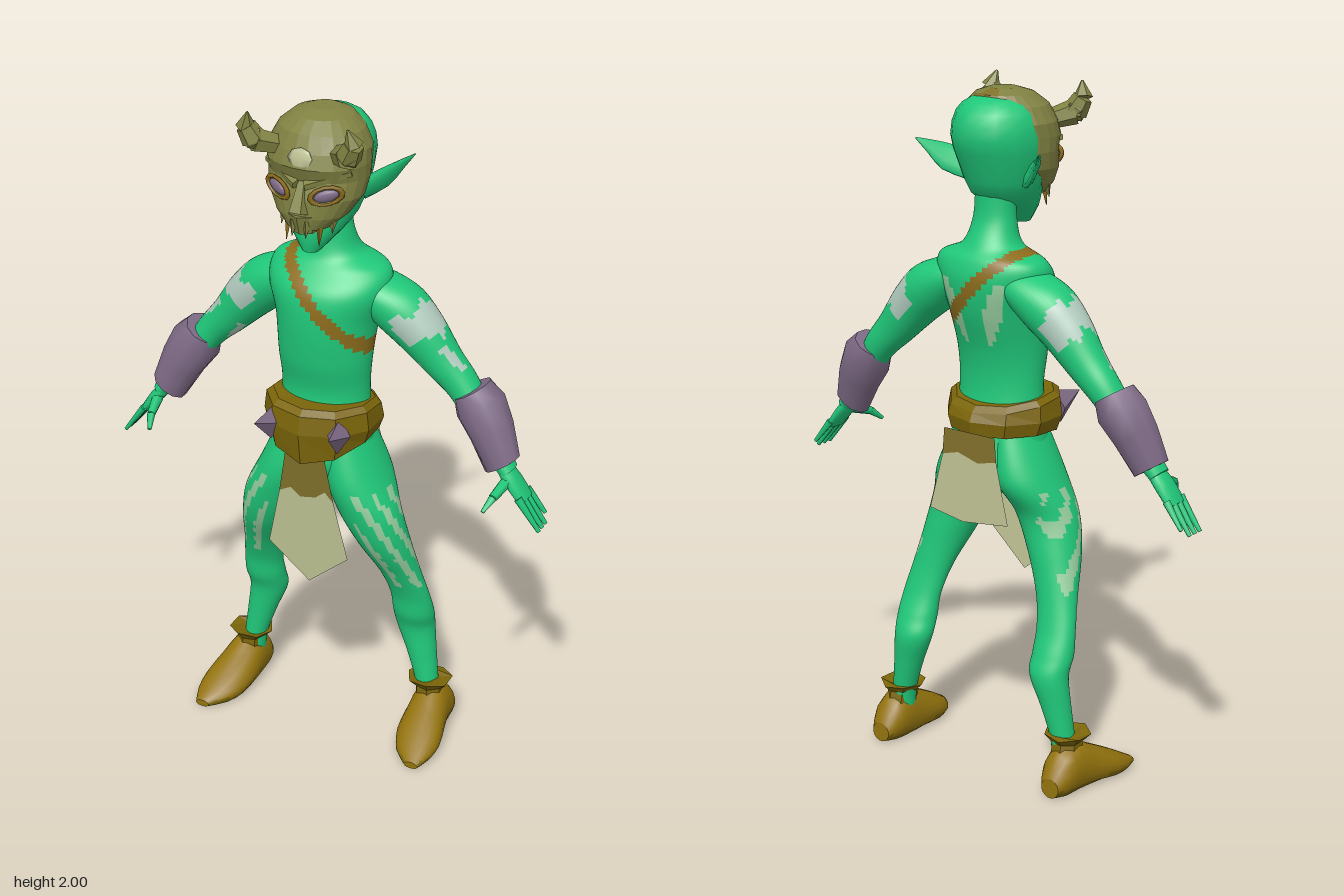
import * as THREE from 'three';

const V = (x, y, z) => new THREE.Vector3(x, y, z);
const mat = (name, color, open) => {
  const m = new THREE.MeshStandardMaterial({ color });
  m.name = name;
  if (open) m.side = THREE.DoubleSide;
  return m;
};

// Loft through elliptical rings [x, y, z, ru, rv] lying in the plane of u and v.
// rule(x, y, z) picks the material slot of each quad; bend(p) moves vertices.
function loft(rings, { u = V(1, 0, 0), v = V(0, 0, 1), sides = 16, steps = 4, rule = () => 0, flat = false, bend } = {}) {
  const n = rings.length, rows = [];
  for (let i = 0; i < n - 1; i++) {
    const q = [-1, 0, 1, 2].map(k => rings[Math.min(n - 1, Math.max(0, i + k))]);
    for (let s = 0; s < steps + (i === n - 2 ? 1 : 0); s++) {
      const t = s / steps;
      rows.push(q[0].map((a, k) => {
        const b = q[1][k], c = q[2][k], d = q[3][k];
        return b + 0.5 * t * (c - a + t * (2 * a - 5 * b + 4 * c - d + t * (3 * (b - c) + d - a)));
      }));
    }
  }
  const pts = [], slots = [];
  const addRing = r => {
    for (let j = 0; j < sides; j++) {
      const a = (j + 0.5) / sides * Math.PI * 2;
      const p = V(r[0], r[1], r[2]).addScaledVector(u, r[3] * Math.cos(a)).addScaledVector(v, r[4] * Math.sin(a));
      if (bend) bend(p);
      pts.push(p);
    }
  };
  const last = rows[rows.length - 1];
  const flip = u.clone().cross(v).dot(V(last[0] - rows[0][0], last[1] - rows[0][1], last[2] - rows[0][2])) < 0;
  const tri = (slot, a, b, c) => (slots[slot] ||= []).push(...(flip ? [a, c, b] : [a, b, c]));
  rows.forEach(addRing);
  for (let i = 0; i < rows.length - 1; i++) for (let j = 0; j < sides; j++) {
    const k = (j + 1) % sides;
    const a = i * sides + j, b = i * sides + k, c = b + sides, d = a + sides;
    const m = pts[a].clone().add(pts[b]).add(pts[c]).add(pts[d]).multiplyScalar(0.25);
    const slot = rule(m.x, m.y, m.z);
    tri(slot, a, b, d);
    tri(slot, b, c, d);
  }
  // End caps
  [rows[0], last].forEach((r, e) => {
    const s = pts.length, mid = V(0, 0, 0);
    addRing(r);
    for (let j = 0; j < sides; j++) mid.addScaledVector(pts[s + j], 1 / sides);
    pts.push(mid);
    for (let j = 0; j < sides; j++) {
      const k = (j + 1) % sides;
      if (e) tri(0, s + sides, s + j, s + k); else tri(0, s + sides, s + k, s + j);
    }
  });
  let g = new THREE.BufferGeometry().setFromPoints(pts);
  const index = [];
  slots.forEach((list, slot) => {
    g.addGroup(index.length, list.length, slot);
    for (const i of list) index.push(i);
  });
  g.setIndex(index);
  if (flat) g = g.toNonIndexed();
  g.computeVertexNormals();
  return g;
}

// Tapered rod between two points
function rod(a, b, r1, r2, sides = 6, flat = false) {
  let g = new THREE.CylinderGeometry(r2, r1, a.distanceTo(b), sides);
  if (flat) { g = g.toNonIndexed(); g.computeVertexNormals(); }
  g.applyQuaternion(new THREE.Quaternion().setFromUnitVectors(V(0, 1, 0), b.clone().sub(a).normalize()));
  return g.translate((a.x + b.x) / 2, (a.y + b.y) / 2, (a.z + b.z) / 2);
}

function mirrored(geo) {
  const g = geo.clone().scale(-1, 1, 1);
  const old = g.index ? Array.from(g.index.array) : Array.from({ length: g.attributes.position.count }, (_, i) => i);
  for (let i = 0; i < old.length; i += 3) [old[i + 1], old[i + 2]] = [old[i + 2], old[i + 1]];
  g.setIndex(old);
  return g;
}

export function createModel() {
  const root = new THREE.Group();
  const skin = mat('green skin', 0x20c87a), armPaint = mat('pale arm paint', 0xb2ccbe), legPaint = mat('pale leg paint', 0x98d0a0);
  const strap = mat('strap brown', 0x8c6c1c), belt = mat('belt leather', 0x7c660a), shoe = mat('shoe leather', 0x94740e);
  const purple = mat('purple hide', 0x806c88), cloth = mat('tan cloth', 0xbec294, true);
  const clothTop = mat('dark cloth', 0x80702c, true), olive = mat('olive mask', 0x808242);
  const add = (name, geo, m) => {
    const mesh = new THREE.Mesh(geo, m);
    mesh.name = name;
    root.add(mesh);
  };
  const pair = (name, geo, m) => {
    add(name + 'Left', geo, m);
    add(name + 'Right', mirrored(geo), m);
  };

  // Torso with diagonal strap and painted back streaks
  add('torso', loft([
    [0, 0.84, -0.03, 0.08, 0.085], [0, 0.92, -0.025, 0.16, 0.12], [0, 1.0, -0.02, 0.145, 0.115],
    [0, 1.14, -0.02, 0.134, 0.09], [0, 1.25, -0.015, 0.14, 0.105], [0, 1.37, -0.03, 0.152, 0.13],
    [0, 1.46, -0.043, 0.18, 0.133], [0, 1.52, -0.06, 0.17, 0.105], [0, 1.56, -0.06, 0.09, 0.078],
    [0, 1.63, -0.05, 0.065, 0.055], [0, 1.72, -0.045, 0.06, 0.055],
  ], {
    sides: 64, steps: 8, rule: (x, y, z) => {
      if (y > 1.2 && Math.abs(y - 1.44 + 0.96 * x) < 0.025) return 1;
      const streak = Math.abs(Math.abs(x) - 0.03 - 0.3 * (y - 1.26)) < 0.026 * Math.sin((y - 1.26) / 0.23 * Math.PI);
      return z < -0.08 && y > 1.26 && y < 1.49 && streak ? 2 : 0;
    },
  }), [skin, strap, legPaint]);

  // Arms with ragged paint bands
  pair('arm', loft([
    [0.06, 1.485, -0.062, 0.045, 0.07], [0.13, 1.452, -0.068, 0.066, 0.085], [0.2, 1.408, -0.071, 0.08, 0.085],
    [0.27, 1.345, -0.072, 0.073, 0.072], [0.34, 1.265, -0.075, 0.058, 0.057], [0.41, 1.19, -0.075, 0.047, 0.048],
    [0.5, 1.06, -0.055, 0.035, 0.04], [0.56, 0.985, -0.045, 0.025, 0.036],
  ], {
    u: V(0.75, 0.66, 0), sides: 36, steps: 8, rule: (x, y, z) => {
      const along = 0.66 * (x - 0.27) - 0.75 * (y - 1.37), out = 0.75 * (x - 0.27) + 0.66 * (y - 1.37);
      const ragged = 0.048 + 0.014 * Math.sin(z * 90) + 0.01 * Math.sin(z * 210);
      if (Math.abs(along) < ragged && out > -0.035) return 1;
      return along > 0.08 && along < 0.17 && Math.abs(z + 0.04 + 0.25 * (along - 0.1)) < 0.011 ? 1 : 0;
    },
  }), [skin, armPaint]);
  pair('bracer', loft([
    [0.428, 1.2, -0.075, 0.058, 0.064], [0.455, 1.155, -0.075, 0.077, 0.073],
    [0.495, 1.09, -0.065, 0.069, 0.064], [0.537, 1.0, -0.05, 0.057, 0.047],
  ], { u: V(0.84, 0.54, 0), sides: 10, steps: 1 }), purple);

  // Hands
  pair('palm', loft([
    [0.54, 1.0, -0.045, 0.02, 0.03], [0.575, 0.96, -0.042, 0.02, 0.04], [0.615, 0.91, -0.042, 0.013, 0.042],
  ], { u: V(0.8, 0.6, 0), sides: 10, steps: 2 }), skin);
  for (let i = 0; i < 4; i++) {
    const z = -0.076 + i * 0.023, end = 0.835 + (i === 0 ? 0.02 : 0);
    pair('finger' + (i + 1), rod(V(0.605, 0.925, z), V(0.672 - (i === 0 ? 0.012 : 0), end, z * 1.1), 0.012, 0.006), skin);
  }
  pair('thumb', rod(V(0.565, 0.965, -0.025), V(0.55, 0.94, 0.045), 0.018, 0.013), skin);
  pair('thumbTip', rod(V(0.55, 0.94, 0.045), V(0.535, 0.91, 0.082), 0.013, 0.006), skin);

  // Legs with slanted stripes on the thighs
  pair('leg', loft([
    [0.07, 1.03, -0.022, 0.06, 0.095], [0.105, 0.89, -0.02, 0.09, 0.12], [0.15, 0.78, 0, 0.095, 0.088],
    [0.19, 0.67, -0.018, 0.08, 0.073], [0.225, 0.56, -0.055, 0.065, 0.05], [0.245, 0.47, -0.085, 0.062, 0.042],
    [0.25, 0.4, -0.105, 0.064, 0.05], [0.25, 0.34, -0.125, 0.06, 0.05], [0.272, 0.25, -0.122, 0.046, 0.042],
    [0.292, 0.16, -0.117, 0.036, 0.037], [0.3, 0.08, -0.115, 0.034, 0.035],
  ], {
    sides: 48, steps: 9, rule: (x, y, z) => {
      const s = (y + x - 1.3 * z + 0.005 * Math.sin(y * 130)) / 0.095;
      const outer = x > 0.1 + 0.35 * (0.88 - y);
      return outer && z > -0.085 && y > 0.52 && y < 0.87 && s - Math.floor(s) < 0.42 ? 1 : 0;
    },
  }), [skin, legPaint]);

  // Shoes with flat soles and flared collars
  pair('shoe', loft([
    [0.315, 0.03, -0.208, 0.03, 0.03], [0.315, 0.055, -0.17, 0.052, 0.065], [0.315, 0.065, -0.11, 0.058, 0.085],
    [0.32, 0.052, -0.05, 0.066, 0.068], [0.33, 0.034, 0.02, 0.071, 0.05], [0.34, 0.02, 0.08, 0.056, 0.031],
    [0.355, 0.01, 0.13, 0.022, 0.011],
  ], { v: V(0, 1, 0), sides: 16, steps: 2, rule: (x, y) => (y < 0.022 ? 1 : 0), bend: p => { p.y = Math.max(0, p.y); } }), [shoe, belt]);
  pair('shoeCollar', loft([
    [0.308, 0.11, -0.115, 0.045, 0.052], [0.306, 0.145, -0.112, 0.044, 0.046],
    [0.306, 0.17, -0.11, 0.07, 0.068], [0.3, 0.165, -0.115, 0.036, 0.038],
  ], { sides: 7, steps: 1, flat: true, bend: p => { if (p.y > 0.16) p.y += 0.2 * (p.z + 0.11) * Math.sin(p.x * 60); } }), belt);

  // Belt, dipping at the front, with two spikes
  add('belt', loft([
    [0, 1.13, -0.005, 0.15, 0.135], [0, 1.115, -0.003, 0.168, 0.155], [0, 1.06, -0.005, 0.175, 0.165], [0, 1.02, -0.008, 0.16, 0.155],
  ], { sides: 10, steps: 1, flat: true, bend: p => {
    const f = p.z / 0.16;
    if (p.y < 1.05) p.y -= 0.07 * Math.max(0, f) ** 2;
    if (p.y > 1.1) p.y += 0.03 * Math.min(0, f);
  } }), belt);
  const spike = new THREE.ConeGeometry(0.055, 0.1, 4).toNonIndexed();
  spike.computeVertexNormals();
  pair('beltSpike', spike.rotateX(Math.PI / 2 - 0.3).scale(0.62, 1, 1).rotateY(0.15).translate(0.11, 1.075, 0.155), purple);

  // Loincloth panels
  const panel = (name, pts, m, zAt) => {
    const g = new THREE.ShapeGeometry(new THREE.Shape(pts.map(p => new THREE.Vector2(...p))));
    const pos = g.attributes.position;
    for (let i = 0; i < pos.count; i++) pos.setZ(i, zAt(pos.getY(i)));
    g.computeVertexNormals();
    add(name, g, m);
  };
  const frontZ = y => 0.093 + (y - 0.54) * 0.06, backZ = y => -0.172 - (0.98 - y) * 0.02;
  const edge = [[-0.087, 0.835], [-0.05, 0.855], [-0.02, 0.83], [0.03, 0.84], [0.06, 0.865], [0.087, 0.835]];
  panel('frontClothTop', [[-0.06, 0.99], ...edge, [0.06, 0.99]], clothTop, frontZ);
  panel('frontCloth', [...edge, [0.128, 0.65], [0, 0.54], [-0.128, 0.65]], cloth, frontZ);
  const rear = [[-0.096, 0.96], [-0.03, 0.945], [0.04, 0.965], [0.096, 0.95]];
  panel('backClothTop', [[-0.09, 1.03], ...rear, [0.09, 1.03]], clothTop, backZ);
  panel('backCloth', [...rear, [0.14, 0.78], [0.02, 0.76], [-0.14, 0.78]], cloth, backZ);

  // Head and ears
  add('head', loft([
    [0, 1.6, 0.075, 0.025, 0.025], [0, 1.65, 0.04, 0.068, 0.07], [0, 1.7, 0, 0.1, 0.105], [0, 1.78, -0.012, 0.125, 0.128],
    [0, 1.86, -0.022, 0.136, 0.15], [0, 1.93, -0.025, 0.118, 0.132], [0, 1.965, -0.03, 0.075, 0.085], [0, 1.975, -0.03, 0.02, 0.02],
  ], { sides: 16, steps: 2 }), skin);
  pair('ear', loft([
    [0.1, 1.755, -0.025, 0.04, 0.018], [0.15, 1.785, -0.07, 0.042, 0.012],
    [0.185, 1.817, -0.105, 0.021, 0.006], [0.213, 1.842, -0.135, 0.002, 0.001],
  ], { u: V(0, 0.78, 0.62), v: V(-0.8, 0.37, -0.46), sides: 8, steps: 2 }), skin);

  // Mask with a brown rim
  add('mask', loft([
    [0, 1.685, 0.08, 0.065, 0.065], [0, 1.72, 0.06, 0.105, 0.09], [0, 1.77, 0.035, 0.137, 0.112], [0, 1.82, 0.02, 0.146, 0.112],
    [0, 1.86, 0.022, 0.148, 0.125], [0, 1.9, 0.012, 0.145, 0.122], [0, 1.945, 0.006, 0.121, 0.108],
    [0, 1.975, -0.004, 0.085, 0.08], [0, 1.99, -0.01, 0.04, 0.04],
  ], { sides: 24, steps: 1, flat: true, rule: (x, y, z) => (z < -0.028 - 0.17 * Math.max(0, y - 1.78) ? 1 : 0) }), [olive, clothTop]);
  add('nose', rod(V(0, 1.82, 0.12), V(0, 1.735, 0.15), 0.014, 0.03, 5, true), olive);
  add('muzzle', rod(V(0, 1.675, 0.105), V(0, 1.73, 0.11), 0.04, 0.052, 7, true), olive);
  const onFace = g => g.rotateX(0.05).rotateY(0.43).translate(0.073, 1.79, 0.128);
  pair('eye', onFace(new THREE.SphereGeometry(1, 12, 8).scale(0.035, 0.017, 0.009).rotateZ(0.25)), purple);
  pair('eyeRim', onFace(new THREE.TorusGeometry(0.042, 0.008, 5, 12).scale(1.05, 0.6, 0.8).rotateZ(0.25)), strap);
  pair('brow', rod(V(0.012, 1.812, 0.138), V(0.125, 1.85, 0.082), 0.014, 0.012, 5, true), olive);
  const spot = new THREE.SphereGeometry(1, 7, 4).scale(0.038, 0.03, 0.007).rotateX(-0.2).translate(0, 1.887, 0.136);
  add('foreheadSpot', spot, cloth);
  [[0.02, 1.665, 0.148], [0.048, 1.64, 0.125], [0.075, 1.672, 0.1]].forEach(([x, y, z], i) =>
    pair('tusk' + (i + 1), rod(V(x, 1.71, z - 0.01), V(x * 1.03, y, z), 0.014, 0.001, 4, true), i === 1 ? strap : olive));

  // Horns
  const h = [V(0.075, 1.89, 0.075), V(0.14, 1.915, 0.132), V(0.16, 1.955, 0.142), V(0.148, 2, 0.155)];
  [0.026, 0.036, 0.028].forEach((r, i) => pair('horn' + (i + 1), rod(h[i], h[i + 1], r, [0.036, 0.028, 0.003][i], 6, true), olive));
  pair('hornKnob', new THREE.IcosahedronGeometry(0.036, 0).translate(0.143, 1.92, 0.133), olive);

  return root;
}
